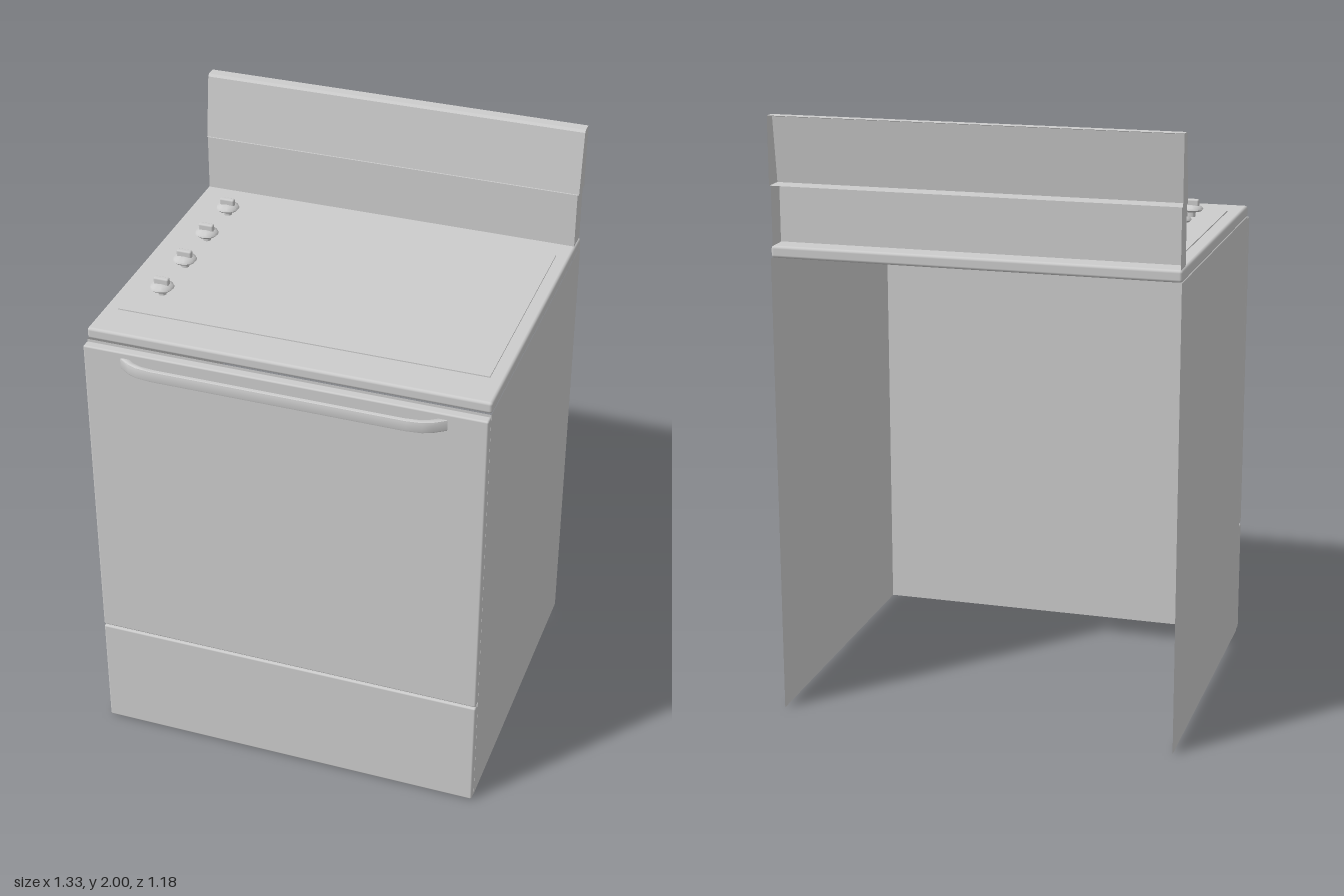
import * as THREE from 'three';
import { RoundedBoxGeometry } from 'three/addons/geometries/RoundedBoxGeometry.js';
import { toCreasedNormals } from 'three/addons/utils/BufferGeometryUtils.js';

export function createModel() {
  const model = new THREE.Group();
  model.name = 'kitchenRange';
  const enamel = new THREE.MeshStandardMaterial({ color: 0xcccccc, side: THREE.DoubleSide });
  enamel.name = 'greyEnamel';

  const add = (name, geometry, x = 0, y = 0, z = 0, parent = model) => {
    const mesh = new THREE.Mesh(geometry, enamel);
    mesh.name = name;
    mesh.position.set(x, y, z);
    parent.add(mesh);
    return mesh;
  };
  const slab = (name, w, y0, y1, z0, z1, r) =>
    add(name, new RoundedBoxGeometry(w, y1 - y0, z1 - z0, 2, r), 0, (y0 + y1) / 2, (z0 + z1) / 2);

  // Cabinet: thin sheets, open at the back and underneath
  for (const side of [-1, 1]) {
    const panel = add('sidePanel', new THREE.PlaneGeometry(1.1, 1.545), side * 0.666, 0.7725, -0.04);
    panel.rotation.y = side * Math.PI / 2;
  }
  add('frontWall', new THREE.PlaneGeometry(1.332, 1.545), 0, 0.7725, 0.508);

  // Front: drawer and oven door
  slab('drawer', 1.334, 0.003, 0.406, 0.51, 0.543, 0.006);
  slab('ovenDoor', 1.334, 0.412, 1.54, 0.51, 0.543, 0.006);

  // Cooktop and its thin cooking surface
  slab('cooktop', 1.334, 1.545, 1.585, -0.588, 0.507, 0.01);
  add('cookingSurface', new THREE.BoxGeometry(1.24, 0.006, 0.8), 0, 1.586, -0.03);

  // Backsplash: bent sheet with a shelf-like rib, open behind
  const sheet = (name, w, z0, y0, z1, y1) => {
    const geo = new THREE.PlaneGeometry(w, Math.hypot(z1 - z0, y1 - y0));
    geo.rotateX(Math.atan2(z1 - z0, y1 - y0));
    add(name, geo, 0, (y0 + y1) / 2, (z0 + z1) / 2);
  };
  sheet('backsplashLower', 1.322, -0.515, 1.583, -0.515, 1.778);
  sheet('backsplashRib', 1.33, -0.515, 1.778, -0.588, 1.778);
  sheet('backsplashUpper', 1.33, -0.52, 1.778, -0.548, 1.992);
  sheet('backsplashBevel', 1.33, -0.548, 1.992, -0.555, 2);
  sheet('backsplashTop', 1.33, -0.555, 2, -0.59, 2);
  const endCap = (name, half, points) => {
    const shape = new THREE.Shape(points.map(([z, y]) => new THREE.Vector2(-z, y)));
    for (const side of [-1, 1]) {
      const geo = new THREE.ShapeGeometry(shape);
      geo.rotateY(Math.PI / 2);
      add(name, geo, side * half);
    }
  };
  endCap('backsplashLowerEnd', 0.661,
    [[-0.515, 1.583], [-0.515, 1.778], [-0.585, 1.778], [-0.585, 1.583]]);
  endCap('backsplashUpperEnd', 0.665,
    [[-0.52, 1.778], [-0.548, 1.992], [-0.555, 2], [-0.59, 2], [-0.59, 1.778]]);

  // Door handle: flat bar whose ends bend back to the door
  const outline = [[-0.535, 0.538], [-0.5, 0.562], [-0.47, 0.574], [-0.42, 0.58]];
  const outer = [...outline, ...outline.map(([x, z]) => [-x, z]).reverse()];
  const inner = outer.map(([x, z]) => [x * 0.98, z - 0.009]).reverse();
  const barShape = new THREE.Shape([...outer, ...inner].map(([x, z]) => new THREE.Vector2(x, z)));
  const bar = new THREE.ExtrudeGeometry(barShape, {
    depth: 0.028, bevelEnabled: true, bevelThickness: 0.006, bevelSize: 0.004, bevelSegments: 2,
  });
  bar.rotateX(Math.PI / 2);
  add('doorHandle', toCreasedNormals(bar, 0.7), 0, 1.514, 0.004);

  // Control knobs: flared disc on a stem with a grip across the top
  const profile = [[0, 0], [0.014, 0], [0.014, 0.02], [0.034, 0.024], [0.04, 0.03],
    [0.037, 0.036], [0.026, 0.042], [0, 0.046]].map(([r, y]) => new THREE.Vector2(r, y));
  const discGeo = toCreasedNormals(new THREE.LatheGeometry(profile, 24), 0.7);
  const gripGeo = new RoundedBoxGeometry(0.052, 0.03, 0.02, 2, 0.006);
  for (const z of [-0.34, -0.148, 0.044, 0.236]) {
    const knob = new THREE.Group();
    knob.name = 'controlKnob';
    knob.position.set(-0.522, 1.585, z);
    add('knobDisc', discGeo, 0, 0, 0, knob);
    add('knobGrip', gripGeo, 0, 0.049, 0, knob);
    model.add(knob);
  }
  return model;
}
